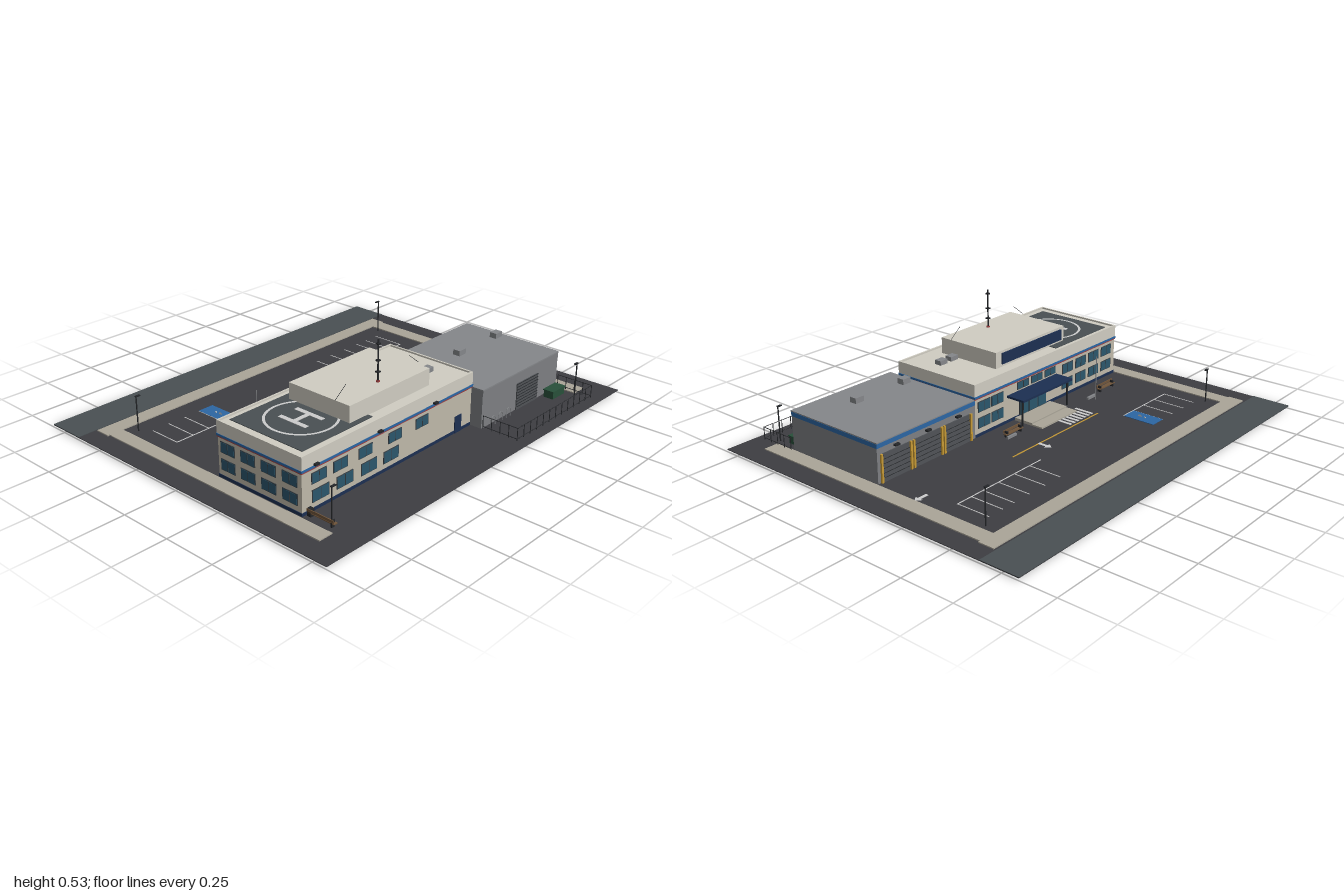
import * as THREE from 'three';

const C = {
  asphalt: 0x3d3d42, road: 0x495053, kerb: 0xaaa598, wall: 0xbfb9a9, roof: 0xd0cdc2, grey: 0x85878a,
  greyWall: 0x7d7f82, navy: 0x1c2f52, blue: 0x2c66a3, red: 0xa04040, glass: 0x2b566c, frame: 0x3a4248,
  white: 0xe4e4e4, dark: 0x25272a, wood: 0x70553a, green: 0x28503a, yellow: 0xc79a35, shutter: 0x505357,
};
const G = 0.016; // floor level of everything that stands on the lot

export function createModel() {
  const model = new THREE.Group();
  const mats = {};
  const mat = (c) => (mats[c] ??= new THREE.MeshStandardMaterial({ color: C[c], side: THREE.DoubleSide }));
  const add = (name, geo, c, x = 0, y = 0, z = 0, parent = model) => {
    const m = new THREE.Mesh(geo, mat(c));
    m.name = name;
    m.position.set(x, y, z);
    parent.add(m);
    return m;
  };
  // box from its limits
  const box = (name, c, x0, x1, y0, y1, z0, z1, parent) =>
    add(name, new THREE.BoxGeometry(x1 - x0, y1 - y0, z1 - z0), c, (x0 + x1) / 2, (y0 + y1) / 2, (z0 + z1) / 2, parent);
  // rod between two points
  const rod = (name, c, a, b, r = 0.002, parent = model) => {
    const p = new THREE.Vector3(...a), q = new THREE.Vector3(...b), d = q.clone().sub(p);
    const m = add(name, new THREE.CylinderGeometry(r, r, d.length(), 8), c, 0, 0, 0, parent);
    m.position.copy(p).add(q).multiplyScalar(0.5);
    m.quaternion.setFromUnitVectors(new THREE.Vector3(0, 1, 0), d.normalize());
    return m;
  };
  const paint = (name, c, x0, x1, z0, z1, y = 0.014) => box(name, c, x0, x1, y - 0.002, y + 0.001, z0, z1);
  const group = (name) => {
    const g = new THREE.Group();
    g.name = name;
    model.add(g);
    return g;
  };

  // Lot, road and pavements
  box('ground', 'asphalt', -1, 1, 0.01, 0.013, -0.83, 0.82);
  paint('road', 'road', -1, 1, -0.83, -0.645);
  box('rearPavement', 'kerb', -0.91, 0.91, 0.012, 0.018, -0.635, -0.56);
  box('pavement', 'kerb', -0.9, -0.83, 0.012, 0.018, -0.56, 0.69);
  box('pavement', 'kerb', 0.825, 0.9, 0.012, 0.018, -0.56, 0.69);

  // Parking bays, crossing and arrows
  const line = (x0, x1, z0, z1) => paint('marking', 'white', x0, x1, z0, z1);
  [-0.745, -0.655, -0.565, -0.48, 0.29, 0.39, 0.49, 0.585, 0.655, 0.735].forEach((x) => line(x - 0.002, x + 0.002, -0.46, -0.295));
  line(-0.745, -0.4, -0.298, -0.294);
  line(0.215, 0.74, -0.298, -0.294);
  paint('accessibleBay', 'blue', -0.48, -0.4, -0.46, -0.3, 0.0145);
  const wheel = add('bayDisc', new THREE.CircleGeometry(0.012, 24), 'white', -0.44, 0.0125, -0.36);
  wheel.rotation.y = Math.PI / 2;
  box('bayMark', 'white', -0.443, -0.437, 0.012, 0.02, -0.393, -0.386);
  for (let i = 0; i < 7; i++) line(-0.335 + i * 0.027, -0.32 + i * 0.027, -0.17, -0.07);
  paint('laneLine', 'yellow', -0.35, 0.27, -0.19, -0.184);
  const arrow = new THREE.Shape([[-0.008, -0.035], [0.008, -0.035], [0.008, 0.01], [0.021, 0.01], [0, 0.038], [-0.021, 0.01], [-0.008, 0.01]]
    .map((p) => new THREE.Vector2(...p)));
  [[0.09, -0.22, 0], [0.79, -0.15, -Math.PI / 2]].forEach(([x, z, turn]) => {
    add('arrow', new THREE.ShapeGeometry(arrow), 'white', x, 0.0155, z).rotation.set(-Math.PI / 2, 0, turn);
  });

  // Main block
  const main = group('mainBlock');
  box('walls', 'wall', -0.822, 0.23, G, 0.21, 0.063, 0.527, main);
  box('upperBand', 'roof', -0.825, 0.233, 0.21, 0.262, 0.06, 0.53, main);
  box('plinth', 'navy', -0.824, 0.23, G, 0.03, 0.061, 0.529, main);
  box('blueStripe', 'blue', -0.827, 0.235, 0.202, 0.212, 0.058, 0.532, main);
  box('redStripe', 'red', -0.826, 0.234, 0.197, 0.202, 0.059, 0.531, main);
  for (const [z0, z1] of [[0.06, 0.068], [0.522, 0.53]]) box('parapet', 'roof', -0.825, 0.233, 0.26, 0.27, z0, z1, main);
  for (const [x0, x1] of [[-0.825, -0.817], [0.225, 0.233]]) box('parapet', 'roof', x0, x1, 0.26, 0.27, 0.06, 0.53, main);

  // Windows: side +1/-1 faces along z, 0 is the -x wall
  const windowAt = (side, u, y, w, h) => {
    const g = group('window');
    box('frame', 'frame', -w / 2 - 0.003, w / 2 + 0.003, -h / 2 - 0.003, h / 2 + 0.003, -0.004, 0.003, g);
    box('pane', 'glass', -w / 2, w / 2, -h / 2, h / 2, 0, 0.004, g);
    box('mullion', 'frame', -0.0015, 0.0015, -h / 2, h / 2, 0, 0.005, g);
    if (side) g.position.set(u, y, side > 0 ? 0.527 : 0.063);
    else g.position.set(-0.822, y, u);
    g.rotation.y = side > 0 ? 0 : side < 0 ? Math.PI : -Math.PI / 2;
  };
  [-0.73, -0.61, -0.465, -0.285, -0.112].forEach((x) => windowAt(1, x, 0.157, 0.076, 0.042));
  [-0.722, -0.585, -0.443, -0.308].forEach((x) => windowAt(1, x, 0.08, 0.088, 0.048));
  for (const y of [0.08, 0.157]) {
    [-0.75, -0.645, -0.54, -0.435, 0.08, 0.17].forEach((x) => windowAt(-1, x, y, 0.076, 0.044));
    [0.12, 0.235, 0.35, 0.465].forEach((z) => windowAt(0, z, y, 0.075, 0.044));
  }
  [-0.3, -0.2, -0.1].forEach((x) => windowAt(-1, x, 0.175, 0.075, 0.03));
  box('rearDoor', 'navy', 0.115, 0.16, G, 0.095, 0.52, 0.531);
  [-0.75, -0.385, -0.03].forEach((x) => box('wallLight', 'dark', x - 0.012, x + 0.012, 0.212, 0.22, 0.53, 0.543));

  // Helipad
  paint('helipad', 'road', -0.78, -0.38, 0.09, 0.49, 0.264);
  add('helipadRing', new THREE.RingGeometry(0.144, 0.156, 56), 'white', -0.58, 0.266, 0.29).rotation.x = -Math.PI / 2;
  for (const x of [-0.626, -0.534]) paint('helipadBar', 'white', x - 0.011, x + 0.011, 0.215, 0.365, 0.266);
  paint('helipadBar', 'white', -0.626, -0.534, 0.28, 0.3, 0.266);

  // Penthouse with sign panel, mast and whips
  box('penthouse', 'roof', -0.488, 0.01, 0.262, 0.34, 0.13, 0.465);
  box('signPanel', 'navy', -0.465, -0.03, 0.275, 0.328, 0.124, 0.132);
  rod('mast', 'dark', [-0.24, 0.34, 0.395], [-0.24, 0.527, 0.395], 0.0035);
  add('mastBase', new THREE.CylinderGeometry(0.008, 0.008, 0.006, 12), 'red', -0.24, 0.343, 0.395);
  [0.385, 0.435, 0.508].forEach((y) => box('mastArm', 'dark', -0.248, -0.232, y - 0.003, y + 0.003, 0.387, 0.403));
  rod('whip', 'dark', [-0.497, 0.345, 0.395], [-0.432, 0.395, 0.395], 0.001);
  rod('whip', 'dark', [0.02, 0.345, 0.395], [-0.042, 0.395, 0.395], 0.001);
  [[0.045, 0.262, 0.283, 0.37], [0.115, 0.262, 0.283, 0.37], [0.38, 0.255, 0.28, 0.345], [0.66, 0.255, 0.28, 0.345]].forEach(
    ([x, y0, y1, z]) => box('roofUnit', 'grey', x - 0.023, x + 0.023, y0, y1, z - 0.018, z + 0.018));

  // Garage wing
  box('garage', 'greyWall', 0.23, 0.82, G, 0.197, 0.063, 0.588);
  box('garageRoof', 'grey', 0.23, 0.822, 0.195, 0.201, 0.06, 0.59);
  box('garageBand', 'blue', 0.234, 0.823, 0.176, 0.196, 0.059, 0.586);
  box('rearFascia', 'greyWall', 0.23, 0.82, 0.17, 0.198, 0.58, 0.59);
  for (const x of [0.345, 0.53, 0.715]) {
    box('bayDoor', 'shutter', x - 0.075, x + 0.075, G, 0.145, 0.058, 0.07);
    for (let y = 0.035; y < 0.14; y += 0.021) box('doorRib', 'dark', x - 0.075, x + 0.075, y, y + 0.002, 0.0565, 0.06);
    for (const s of [-1, 1]) box('bayPost', 'yellow', x + s * 0.084 - 0.005, x + s * 0.084 + 0.005, G, 0.145, 0.054, 0.066);
    box('bayLight', 'dark', x - 0.013, x + 0.013, 0.157, 0.165, 0.046, 0.062);
  }
  box('rollerDoor', 'shutter', 0.49, 0.655, G, 0.145, 0.58, 0.593);
  for (let y = 0.03; y < 0.145; y += 0.014) box('doorRib', 'dark', 0.49, 0.655, y, y + 0.002, 0.592, 0.595);

  // Entrance canopy, steps and glazed doors
  box('canopy', 'navy', -0.35, 0.012, 0.14, 0.15, -0.035, 0.065);
  for (const x of [-0.335, -0.005]) rod('canopyPost', 'dark', [x, G, -0.015], [x, 0.14, -0.015], 0.005);
  box('entranceSlab', 'kerb', -0.3, -0.04, 0.012, 0.02, -0.1, 0.06);
  box('entranceSlab', 'kerb', -0.3, -0.04, 0.02, 0.026, -0.04, 0.06);
  for (const x of [-0.235, -0.17, -0.105]) {
    box('doorFrame', 'frame', x - 0.032, x + 0.032, 0.026, 0.12, 0.058, 0.066);
    box('doorPane', 'glass', x - 0.028, x + 0.028, 0.03, 0.116, 0.055, 0.06);
  }
  rod('flagpole', 'grey', [-0.475, G, -0.08], [-0.475, 0.235, -0.08], 0.002);

  // Benches and planters
  const bench = (x, z, length, turn) => {
    const g = group('bench');
    box('seat', 'wood', -length / 2, length / 2, 0.015, 0.019, -0.01, 0.01, g);
    box('back', 'wood', -length / 2, length / 2, 0.022, 0.034, 0.009, 0.012, g);
    for (const s of [-1, 1]) box('leg', 'dark', s * length * 0.4 - 0.003, s * length * 0.4 + 0.003, 0, 0.03, -0.008, 0.01, g);
    g.position.set(x, G, z);
    g.rotation.y = turn;
  };
  bench(-0.615, -0.04, 0.125, 0);
  bench(0.09, -0.04, 0.115, 0);
  bench(-0.795, 0.605, 0.14, -Math.PI / 2);
  for (const x of [-0.475, 0.12]) box('planter', 'grey', x - 0.03, x + 0.03, G, 0.028, -0.06, -0.05);
  box('bin', 'dark', -0.805, -0.785, G, 0.05, 0.535, 0.555);

  // Yard lamps with heads pointing inward
  [[-0.79, -0.5, 1], [0.8, -0.5, -1], [-0.79, 0.65, 1], [0.8, 0.705, -1]].forEach(([x, z, s]) => {
    rod('lampPost', 'dark', [x, G, z], [x, 0.18, z], 0.003);
    box('lampHead', 'dark', x + s * 0.008 - 0.012, x + s * 0.008 + 0.012, 0.178, 0.183, z - 0.005, z + 0.005);
  });

  // Rear yard fence, skip and cycle hoops
  const corners = [[0.24, 0.59], [0.24, 0.77], [0.835, 0.77], [0.835, 0.59]];
  for (let i = 0; i < 3; i++) {
    const [ax, az] = corners[i], [bx, bz] = corners[i + 1], n = i === 1 ? 12 : 4;
    for (const y of [0.025, 0.076]) rod('fenceRail', 'dark', [ax, y, az], [bx, y, bz], 0.0015);
    for (let k = 0; k <= n; k++) {
      const x = ax + (bx - ax) * k / n, z = az + (bz - az) * k / n;
      rod('fencePost', 'dark', [x, G, z], [x, 0.078, z], 0.0018);
    }
  }
  box('skip', 'green', 0.695, 0.79, G, 0.05, 0.605, 0.655);
  box('skipLid', 'green', 0.692, 0.793, 0.05, 0.055, 0.602, 0.658);
  for (const x of [0.295, 0.35, 0.41]) {
    const hoop = new THREE.CatmullRomCurve3([[-0.015, G], [-0.015, 0.05], [0, 0.062], [0.015, 0.05], [0.015, G]]
      .map(([u, y]) => new THREE.Vector3(x + u, y, 0.605)));
    add('cycleHoop', new THREE.TubeGeometry(hoop, 20, 0.0018, 6), 'grey');
  }
  return model;
}
